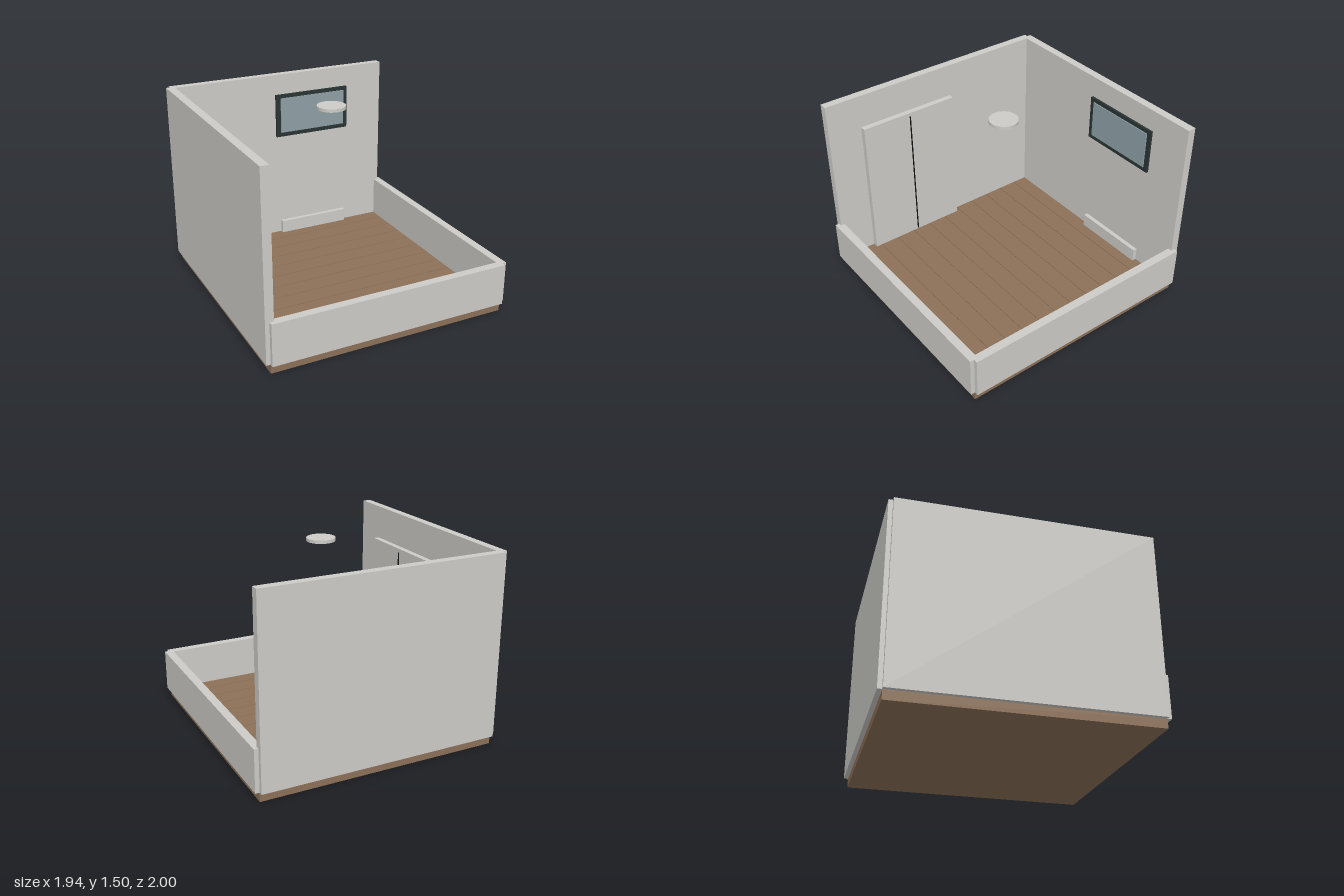
import * as THREE from 'three';

const mat = (name, color) => {
  const m = new THREE.MeshStandardMaterial({ color });
  m.name = name;
  return m;
};

export function createModel() {
  const room = new THREE.Group();
  room.name = 'room';
  const plaster = mat('plaster', 0xcdccc8);
  const wood = mat('wood', 0x8d7158);
  const dark = mat('dark frame', 0x2a3433);
  const glass = mat('glass', 0x8fa0a6);
  const black = mat('black seam', 0x121414);

  // Box given by its extents on each axis
  const box = (name, material, [x0, x1], [y0, y1], [z0, z1], parent = room) => {
    const mesh = new THREE.Mesh(new THREE.BoxGeometry(x1 - x0, y1 - y0, z1 - z0), material);
    mesh.position.set((x0 + x1) / 2, (y0 + y1) / 2, (z0 + z1) / 2);
    mesh.name = name;
    parent.add(mesh);
    return mesh;
  };

  // Floor slab with planks running across the room
  const top = 0.073;
  box('floorSlab', wood, [-0.94, 0.94], [0, 0.067], [-0.967, 0.967]);
  const planks = new THREE.Group();
  planks.name = 'floorPlanks';
  room.add(planks);
  const count = 12, pitch = 1.934 / count, gap = 0.006;
  for (let i = 0; i < count; i++) {
    const z = -0.967 + i * pitch;
    box('plank', wood, [-0.94, 0.94], [0.067, top], [z + gap / 2, z + pitch - gap / 2], planks);
  }

  // Two tall walls and two low walls, notched at the corners
  const tall = [0.072, 1.5], low = [0.072, 0.4];
  box('backWall', plaster, [-0.94, 0.94], tall, [-1, -0.935]);
  box('rightWall', plaster, [-0.972, -0.907], tall, [-0.967, 0.967]);
  box('frontLowWall', plaster, [-0.94, 0.94], low, [0.935, 1]);
  box('leftLowWall', plaster, [0.907, 0.972], low, [-0.967, 0.967]);

  // Double door with a dark centre seam
  box('door', plaster, [-0.907, -0.86], [0.072, 1.23], [-0.135, 0.69]);
  box('doorSeam', black, [-0.862, -0.853], [0.085, 1.2], [0.273, 0.281]);

  // Window on the back wall, with the heater beneath it
  box('windowFrame', dark, [-0.057, 0.605], [0.963, 1.33], [-0.935, -0.915]);
  box('windowPane', glass, [-0.018, 0.57], [1, 1.3], [-0.932, -0.907]);
  box('heater', plaster, [-0.028, 0.58], [0.072, 0.18], [-0.935, -0.9]);

  // Ceiling lamp disc
  const lamp = new THREE.Mesh(new THREE.CylinderGeometry(0.11, 0.11, 0.025, 32), plaster);
  lamp.position.y = 1.477;
  lamp.name = 'ceilingLamp';
  room.add(lamp);

  return room;
}
